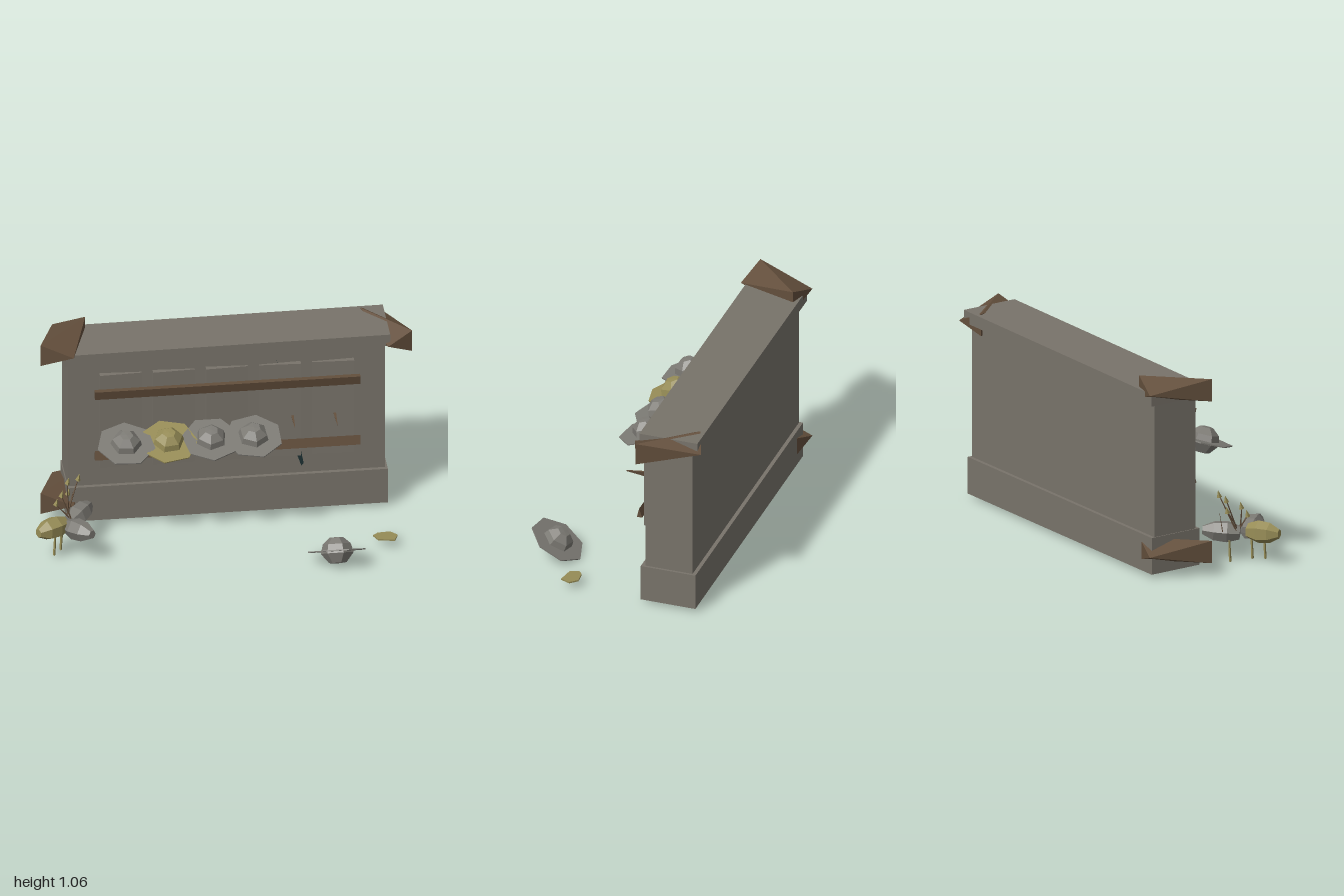
import * as THREE from 'three';

const mat = (name, color) => {
  const m = new THREE.MeshStandardMaterial({ color, flatShading: true, side: THREE.DoubleSide });
  m.name = name;
  return m;
};

export function createModel() {
  const root = new THREE.Group();
  const stone = mat('stone', 0x78736a);
  const iron = mat('iron', 0x7c7a74);
  const brass = mat('brass', 0x968c56);
  const wood = mat('wood', 0x634f3c);
  const teal = mat('dark teal', 0x1c3032);

  const add = (name, geo, material, parent = root) => {
    const m = new THREE.Mesh(geo, material);
    m.name = name;
    parent.add(m);
    return m;
  };
  // Box given by its minimum and maximum corners
  const box = (name, a, b, material) => {
    const m = add(name, new THREE.BoxGeometry(b[0] - a[0], b[1] - a[1], b[2] - a[2]), material);
    m.position.set((a[0] + b[0]) / 2, (a[1] + b[1]) / 2, (a[2] + b[2]) / 2);
    return m;
  };
  // Straight prism from a small outline
  const prism = (pts, depth) => new THREE.ExtrudeGeometry(
    new THREE.Shape(pts.map(p => new THREE.Vector2(...p))), { depth, bevelEnabled: false });
  // Tapered rod between two points
  const rod = (name, a, b, r0, r1, material, sides = 3) => {
    const p = new THREE.Vector3(...a), q = new THREE.Vector3(...b);
    const d = q.clone().sub(p);
    const m = add(name, new THREE.CylinderGeometry(r1, r0, d.length(), sides), material);
    m.position.copy(p).add(q).multiplyScalar(0.5);
    m.quaternion.setFromUnitVectors(new THREE.Vector3(0, 1, 0), d.normalize());
    return m;
  };

  // Wall, plinth and slightly crooked coping
  box('wall', [-0.775, 0.1, -0.455], [0.86, 0.96, -0.2], stone);
  box('plinth', [-0.78, 0.018, -0.475], [0.873, 0.215, -0.178], stone);
  box('coping', [-0.8, 0.935, -0.49], [0.885, 1.0, -0.175], stone).rotation.z = 0.006;

  // Faceted corner blocks: skewed octahedra
  const cornerBlock = (name, x, y, ax, bx) => {
    const g = new THREE.OctahedronGeometry(1, 0);
    g.applyMatrix4(new THREE.Matrix4().makeBasis(
      new THREE.Vector3(ax, 0.06, 0.135),
      new THREE.Vector3(ax, -0.06, 0.135),
      new THREE.Vector3(bx, 0, 0.183)));
    add(name, g, wood).position.set(x, y, -0.33);
  };
  cornerBlock('upperLeftEndBlock', -0.785, 0.995, -0.132, 0.033);
  cornerBlock('lowerLeftEndBlock', -0.785, 0.125, -0.132, 0.033);
  cornerBlock('upperRightEndBlock', 0.883, 0.95, 0.117, -0.012);

  // Row of wedge-shaped boards
  for (let i = 0; i < 5; i++) {
    const s = i < 3 ? 1 : -1;
    const g = prism([[-0.108 * s, -0.015], [0.108 * s, -0.006], [0.108 * s, 0.004], [-0.108 * s, 0.015]], 0.54);
    g.rotateX(-Math.PI / 2);
    add('board', g, stone).position.set(-0.51 + 0.274 * i, 0.35, -0.148);
  }

  // Dark shard behind the boards
  const shard = prism([[0.3, 0.89], [0.345, 0.45], [0.4, 0.345], [0.425, 0.27], [0.437, 0.285], [0.425, 0.35], [0.37, 0.45]], 0.02);
  add('shard', shard, teal).position.z = -0.19;

  // Triangular rails
  for (const [base, tip] of [[0.81, 0.76], [0.41, 0.46]]) {
    const g = prism([[0.104, base], [0.133, base], [0.116, tip]], 1.37);
    g.rotateY(Math.PI / 2);
    add('rail', g, wood).position.x = -0.647;
  }

  // Helmet: thin brim with a faceted bowl
  const bowlProfile = [[0, -0.066], [0.045, -0.062], [0.085, -0.012], [0.072, 0.035], [0.035, 0.068], [0, 0.07]]
    .map(p => new THREE.Vector2(...p));
  const helmet = (x, y, z, tilt, turn, material) => {
    const g = new THREE.Group();
    g.name = 'helmet';
    add('brim', new THREE.CylinderGeometry(0.152, 0.152, 0.006, 7), material, g);
    add('bowl', new THREE.LatheGeometry(bowlProfile, 6), material, g);
    g.children.forEach(m => { m.rotation.y = turn; });
    g.position.set(x, y, z);
    g.rotation.x = tilt;
    root.add(g);
  };

  // Pegs, the first four holding helmets
  for (let i = 0; i < 6; i++) {
    const x = -0.505 + 0.219 * i;
    rod('peg', [x, 0.595, -0.107], [x, 0.592, -0.0], 0.02, 0.004, wood).scale.x = 0.4;
    if (i < 4) helmet(x, 0.577, 0.04, 0.3, 0.4 + i * 0.25, i === 1 ? brass : iron);
  }
  helmet(0.54, 0.076, 0.39, -0.53, 0.3, iron);

  // Pile of faceted lumps, axis from a to b
  const lump = (name, a, b, r, material) => {
    const p = new THREE.Vector3(...a), d = new THREE.Vector3(...b).sub(p), L = d.length();
    const prof = [[0, 0], [r * 0.65, 0.02 * L], [r, 0.35 * L], [r * 0.9, 0.7 * L], [r * 0.4, L], [0, L]]
      .map(q => new THREE.Vector2(...q));
    const m = add(name, new THREE.LatheGeometry(prof, 6), material);
    m.position.copy(p);
    m.quaternion.setFromUnitVectors(new THREE.Vector3(0, 1, 0), d.normalize());
  };
  lump('backLump', [-0.8, 0.15, 0.065], [-0.68, 0.163, -0.09], 0.058, iron);
  lump('frontLump', [-0.82, 0.15, 0.09], [-0.705, 0.175, 0.245], 0.058, iron);
  lump('brassLump', [-0.825, 0.165, 0.09], [-0.975, 0.168, 0.185], 0.06, brass);

  // Stakes under the pile
  for (const [x, z] of [[-0.89, 0.157], [-0.85, 0.105], [-0.83, -0.02]])
    rod('stake', [x, 0.018, z], [x + 0.005, 0.13, z - 0.003], 0.008, 0.006, brass);

  // Stalks with pointed heads
  const stalks = [
    [-0.745, 0.35, -0.028], [-0.8, 0.335, -0.022], [-0.8, 0.275, -0.015],
    [-0.87, 0.262, 0.062], [-0.84, 0.3, 0.045],
  ];
  stalks.forEach(([x, y, z], i) => {
    rod('stalk', [-0.81 + 0.005 * i, 0.17, 0.03 + 0.01 * i], [x, y, z], 0.005, 0.003, wood);
    rod('stalkHead', [x, y - 0.008, z], [x + 0.008, y + 0.028, z - 0.004], 0.016, 0.001, brass);
  });
  rod('stalk', [-0.79, 0.17, -0.04], [-0.77, 0.265, -0.045], 0.003, 0.001, wood);

  // Scrap lying on the floor
  const scrap = prism([[0.75, -0.2], [0.775, -0.177], [0.84, -0.172], [0.875, -0.21], [0.855, -0.26], [0.77, -0.245]], 0.008);
  scrap.rotateX(-Math.PI / 2);
  add('scrap', scrap, brass).position.y = 0.038;

  return root;
}
